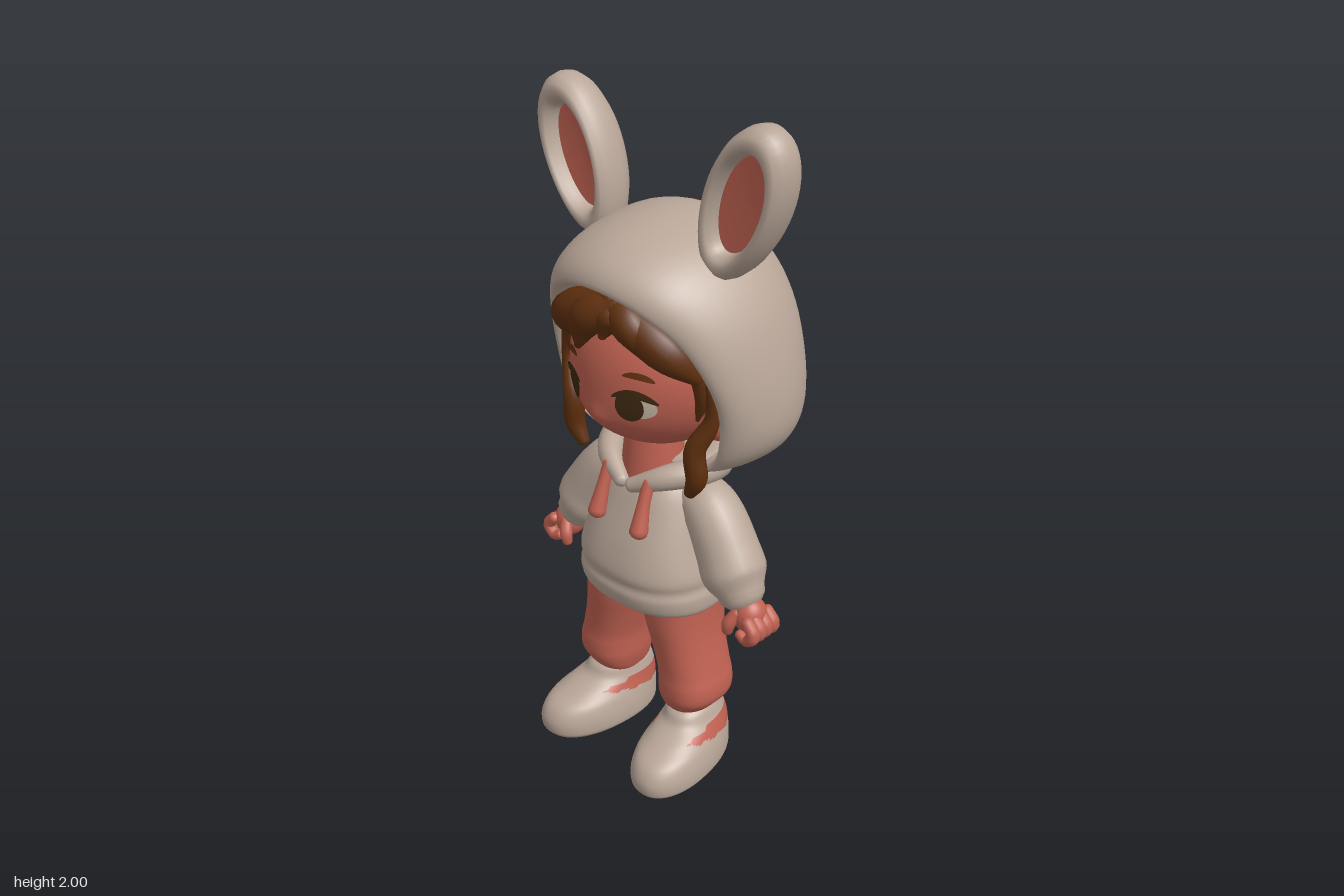
import * as THREE from 'three';

const V = (x, y, z = 0) => new THREE.Vector3(x, y, z);
const paint = (name, color) => Object.assign(new THREE.MeshStandardMaterial({ color }), { name });

// Smooth skin over rings of equal length; pick(centre) chooses a material group per quad
function loft(rings, pick) {
  const n = rings[0].length, pos = [], lists = [[], []];
  rings.forEach(r => r.forEach(p => pos.push(p.x, p.y, p.z)));
  for (let i = 0; i < rings.length - 1; i++) for (let j = 0; j < n; j++) {
    const k = (j + 1) % n, a = i * n + j, b = a + n, c = i * n + k, d = c + n;
    const mid = rings[i][j].clone().add(rings[i + 1][k]).multiplyScalar(0.5);
    lists[pick ? pick(mid) : 0].push(a, b, c, c, b, d);
  }
  const g = new THREE.BufferGeometry();
  g.setAttribute('position', new THREE.Float32BufferAttribute(pos, 3));
  g.setIndex([...lists[0], ...lists[1]]);
  if (pick) {
    g.addGroup(0, lists[0].length, 0);
    g.addGroup(lists[0].length, lists[1].length, 1);
  }
  g.computeVertexNormals();
  return g;
}

// Upright body from sections [y, centreX, halfWidth, zFront, zBack], closed at both ends
function sections(list, { steps = 40, sides = 40, power = 0.85, toeOut = 0, pick } = {}) {
  const a = new THREE.CatmullRomCurve3(list.map(s => V(s[0], s[1], s[2])), false, 'catmullrom');
  const b = new THREE.CatmullRomCurve3(list.map(s => V(s[3], s[4])), false, 'catmullrom');
  const bend = v => Math.sign(v) * Math.abs(v) ** power;
  const ring = (t, k) => {
    const p = a.getPoint(t), q = b.getPoint(t), cz = (q.x + q.y) / 2, rz = (q.x - q.y) / 2;
    return Array.from({ length: sides }, (_, j) => {
      const w = j / sides * Math.PI * 2, z = cz + rz * k * bend(Math.sin(w));
      return V(p.y + p.z * k * bend(Math.cos(w)) + toeOut * (z - 0.1), p.x, z);
    });
  };
  const rings = [ring(0, 0), ring(0, 0.96)];
  for (let i = 0; i <= steps; i++) rings.push(ring(i / steps, 1));
  rings.push(ring(1, 0.9), ring(1, 0));
  return loft(rings, pick);
}

// Tube with changing radius and domed ends
function taper(points, radii, steps = 24, sides = 16) {
  const path = new THREE.CatmullRomCurve3(points.map(p => V(...p)));
  const rad = new THREE.CatmullRomCurve3(radii.map(r => V(r, 0)), false, 'catmullrom');
  const f = path.computeFrenetFrames(steps), rings = [];
  const add = (i, k, shift) => {
    const u = i / steps, r = rad.getPoint(points.length === radii.length ? path.getUtoTmapping(u) : u).x;
    const c = path.getPointAt(u).addScaledVector(f.tangents[i], shift * r);
    rings.push(Array.from({ length: sides }, (_, j) => {
      const w = j / sides * Math.PI * 2;
      return c.clone().addScaledVector(f.normals[i], Math.cos(w) * r * k)
        .addScaledVector(f.binormals[i], -Math.sin(w) * r * k);
    }));
  };
  for (let d = 0; d < 4; d++) add(0, Math.sin(d * Math.PI / 8), -0.8 * Math.cos(d * Math.PI / 8));
  for (let i = 0; i <= steps; i++) add(i, 1, 0);
  for (let d = 3; d >= 0; d--) add(steps, Math.sin(d * Math.PI / 8), 0.8 * Math.cos(d * Math.PI / 8));
  return loft(rings);
}

const ball = (x, y, z, rx, ry = rx, rz = rx) =>
  new THREE.SphereGeometry(1, 32, 24).scale(rx, ry, rz).translate(x, y, z);

function mirrored(g) {
  const m = g.clone().scale(-1, 1, 1), ix = m.index.array;
  for (let i = 0; i < ix.length; i += 3) [ix[i], ix[i + 1]] = [ix[i + 1], ix[i]];
  return m;
}

// Face relief shared by the head and the plates laid on it
const bump = (x, y) => 0.022 * Math.exp(-((y - 1.16) ** 2) / 0.006 - x * x / 0.02)
  + 0.012 * Math.exp(-((y - 1.185) ** 2) / 0.0006 - x * x / 0.0006);
const faceZ = (x, y) => 0.03 + 0.25 * Math.sqrt(Math.max(0, 1 - (x / 0.255) ** 2 - ((y - 1.29) / 0.25) ** 2)) + bump(x, y);

export function createModel() {
  const model = new THREE.Group();
  const cloth = paint('taupe cloth', 0xb9a698), coral = paint('coral', 0xbf6151);
  const brown = paint('brown hair', 0x5f300f), dark = paint('dark eye', 0x3d2810);
  const white = paint('eye white', 0xc6b8a4);
  const add = (name, g, m) => {
    const mesh = new THREE.Mesh(g, m);
    mesh.name = name;
    model.add(mesh);
  };
  const pair = (name, g, m) => {
    add('left ' + name, g, m);
    add('right ' + name, mirrored(g), m);
  };

  // Hood: domed back, widest ring, then a rolled front opening
  const loop = half => new THREE.CatmullRomCurve3(
    [...half, ...half.slice(1, -1).reverse().map(p => [-p[0], p[1], p[2]])].map(p => V(...p)), true, 'catmullrom');
  const wide = loop([[0, 1.7, -0.04], [0.2, 1.64, -0.04], [0.325, 1.48, -0.04], [0.383, 1.24, -0.04],
    [0.35, 1.09, -0.04], [0.2, 1.0, -0.04], [0, 0.985, -0.04]]);
  const rim = loop([[0, 1.555, 0.29], [0.15, 1.52, 0.265], [0.25, 1.42, 0.2], [0.3, 1.25, 0.135],
    [0.27, 1.08, 0.11], [0.17, 1.01, 0.09], [0, 1.0, 0.08]]);
  const hoodRing = f => Array.from({ length: 72 }, (_, j) => f(wide.getPoint(j / 72), rim.getPoint(j / 72)));
  const hood = [];
  for (let i = 16; i > 0; i--) {
    const u = i / 16 * Math.PI / 2, c = Math.cos(u);
    hood.push(hoodRing(e => V(e.x * c, 1.29 + (e.y - 1.29) * c, -0.04 - 0.297 * Math.sin(u))));
  }
  for (let i = 0; i <= 16; i++) {
    const u = i / 16 * Math.PI / 2, k = 1 - Math.cos(u), s = Math.sin(u);
    hood.push(hoodRing((e, r) => V(e.x + (r.x - e.x) * k, e.y + (r.y - e.y) * k, e.z + (r.z - e.z) * s)));
  }
  for (const [k, dz] of [[0.97, 0.015], [0.96, 0.05], [0.95, 0.15]])
    hood.push(hoodRing((e, r) => V(r.x * k, 1.28 + (r.y - 1.28) * k, r.z - dz)));
  add('hood', loft(hood), cloth);

  // Rabbit ears: dished shell around a coral lining
  const placeEar = rings => loft(rings.map(([r, z]) => Array.from({ length: 48 }, (_, j) => {
    const w = j / 48 * Math.PI * 2, y = -Math.sin(w) * r;
    return V(Math.cos(w) * r * 0.113 * (1 + 0.1 * y), y * 0.225, z);
  }))).rotateZ(-0.38).translate(0.29, 1.785, 0.012);
  pair('rabbit ear', placeEar([[0, -0.075], [0.3, -0.074], [0.55, -0.068], [0.75, -0.055], [0.9, -0.033], [0.98, -0.008],
    [1, 0.02], [0.97, 0.05], [0.89, 0.07], [0.8, 0.078], [0.71, 0.07], [0.65, 0.05], [0.62, 0.02]]), cloth);
  pair('ear lining', placeEar([[0.66, 0.03], [0.4, 0.026], [0, 0.025]]), coral);

  // Head
  const head = new THREE.SphereGeometry(1, 64, 48).scale(0.255, 0.25, 0.25).translate(0, 1.29, 0.03);
  const hp = head.attributes.position;
  for (let i = 0; i < hp.count; i++) {
    const k = Math.min(1, Math.max(0, (hp.getZ(i) - 0.03) / 0.06));
    hp.setZ(i, hp.getZ(i) + k * bump(hp.getX(i), hp.getY(i)));
  }
  head.computeVertexNormals();
  add('head', head, coral);
  pair('ear', ball(0.268, 1.2, 0.1, 0.04, 0.055, 0.035), coral);
  add('neck', new THREE.CylinderGeometry(0.08, 0.1, 0.2, 32).translate(0, 0.98, 0.065), coral);

  // Eyes and brows as thin plates following the face
  const plate = (x, y, rx, ry, lift, tilt = 0, sag = 0) => {
    const g = new THREE.RingGeometry(0.001, 1, 28, 5), p = g.attributes.position;
    for (let i = 0; i < p.count; i++) {
      const a = p.getX(i) * rx, b = p.getY(i) * ry - sag * p.getX(i) ** 2;
      const px = x + a * Math.cos(tilt) - b * Math.sin(tilt), py = y + a * Math.sin(tilt) + b * Math.cos(tilt);
      p.setXYZ(i, px, py, faceZ(px, py) + lift);
    }
    g.computeVertexNormals();
    return g;
  };
  pair('eye white', plate(0.122, 1.243, 0.044, 0.034, 0.004), white);
  pair('iris', plate(0.103, 1.245, 0.036, 0.045, 0.007), dark);
  pair('upper lash', plate(0.118, 1.285, 0.058, 0.012, 0.009, -0.1, 0.022), dark);
  pair('eyebrow', plate(0.125, 1.335, 0.04, 0.009, 0.006, -0.15, 0.008), brown);

  // Hair: mass inside the hood, swept fringe and hanging side locks
  add('hair mass', ball(0, 1.29, -0.01, 0.3, 0.255, 0.2), brown);
  const fringeZ = (x, y) => 0.275 - 2.2 * x * x - Math.max(0, y - 1.44) * 0.6;
  const fringe = [
    [[0.05, 1.5], [-0.04, 1.46], [-0.09, 1.36], 0.055],
    [[0.03, 1.51], [-0.13, 1.44], [-0.19, 1.35], 0.055],
    [[0, 1.5], [-0.19, 1.41], [-0.27, 1.31], 0.05],
    [[0.02, 1.51], [0.1, 1.46], [0.15, 1.375], 0.05],
    [[0.03, 1.5], [0.18, 1.41], [0.26, 1.31], 0.055],
    [[0.06, 1.5], [0.03, 1.47], [0.02, 1.425], 0.045],
  ];
  fringe.forEach(([a, b, c, r], i) => add('fringe lock ' + (i + 1),
    taper([a, b, c].map(p => [...p, fringeZ(...p)]), [r * 0.8, r, 0.012]), brown));
  pair('side lock', taper([[0.265, 1.34, 0.12], [0.275, 1.22, 0.12], [0.235, 1.12, 0.15], [0.237, 1.03, 0.145],
    [0.21, 0.975, 0.14]], [0.03, 0.025, 0.03, 0.03, 0.018]), brown);
  pair('cheek lock', taper([[0.235, 1.38, 0.14], [0.245, 1.28, 0.13], [0.225, 1.2, 0.13]], [0.035, 0.025, 0.006]), brown);

  // Hooded top
  add('torso', sections([[0.55, 0, 0.215, 0.22, -0.11], [0.57, 0, 0.228, 0.24, -0.125], [0.61, 0, 0.23, 0.25, -0.13],
    [0.64, 0, 0.222, 0.245, -0.12], [0.68, 0, 0.222, 0.25, -0.115], [0.76, 0, 0.2, 0.23, -0.1],
    [0.85, 0, 0.175, 0.195, -0.09], [0.92, 0, 0.15, 0.165, -0.09], [0.97, 0, 0.11, 0.13, -0.07]]), cloth);
  pair('sleeve', taper([[0.1, 0.91, 0.03], [0.19, 0.87, 0.035], [0.27, 0.76, 0.045], [0.3, 0.705, 0.05], [0.328, 0.665, 0.055]],
    [0.06, 0.083, 0.092, 0.094, 0.07]), cloth);
  pair('collar', taper([[-0.01, 0.945, -0.1], [0.11, 0.965, -0.07], [0.165, 0.985, 0.03], [0.11, 0.975, 0.13], [0.02, 0.935, 0.175]],
    [0.065, 0.06, 0.045, 0.036, 0.022]), cloth);
  pair('drawstring', taper([[0.078, 0.965, 0.165], [0.08, 0.9, 0.19], [0.083, 0.825, 0.213]], [0.018, 0.019, 0.027]), coral);

  // Hands: palm, curled fingers and thumb
  pair('palm', ball(0.368, 0.607, 0.06, 0.048, 0.056, 0.05), coral);
  pair('wrist', taper([[0.33, 0.66, 0.055], [0.36, 0.62, 0.06]], [0.042, 0.042], 6), coral);
  for (let i = 0; i < 4; i++) {
    const z = 0.104 - i * 0.028;
    pair('finger ' + (i + 1), taper([[0.395, 0.615, z], [0.42, 0.58, z], [0.395, 0.552, z], [0.37, 0.562, z]],
      [0.018, 0.02, 0.018, 0.015], 12, 12), coral);
  }
  pair('thumb', taper([[0.35, 0.62, 0.095], [0.335, 0.585, 0.112], [0.33, 0.56, 0.112]], [0.018, 0.02, 0.016], 10, 12), coral);

  // Trousers gathered at the ankle
  pair('trouser leg', sections([[0.18, 0.15, 0.062, 0.13, -0.02], [0.205, 0.155, 0.075, 0.155, -0.04], [0.245, 0.166, 0.094, 0.175, -0.05],
    [0.29, 0.166, 0.096, 0.178, -0.052], [0.34, 0.157, 0.092, 0.175, -0.05], [0.42, 0.138, 0.093, 0.18, -0.052],
    [0.5, 0.121, 0.099, 0.188, -0.062], [0.59, 0.11, 0.107, 0.19, -0.075]]), coral);

  // Shoes with coral side and heel panels
  const panel = p => p.y > 0.085 && p.y < 0.155 && p.z < 0.2 - 6 * Math.abs(p.y - 0.135)
    + 0.02 * Math.sin(p.z * 90) && !(p.y < 0.1 && p.z > 0.0 && p.z < 0.05) ? 1 : 0;
  pair('shoe', sections([[0.003, 0.17, 0.1, 0.322, -0.045], [0.02, 0.172, 0.112, 0.335, -0.058], [0.06, 0.172, 0.112, 0.335, -0.06],
    [0.1, 0.171, 0.104, 0.31, -0.06], [0.13, 0.169, 0.092, 0.25, -0.058], [0.16, 0.165, 0.08, 0.185, -0.05],
    [0.19, 0.162, 0.07, 0.162, -0.04], [0.205, 0.16, 0.058, 0.145, -0.025]],
    { steps: 56, sides: 64, power: 0.9, toeOut: 0.12, pick: panel }), [cloth, coral]);

  return model;
}
